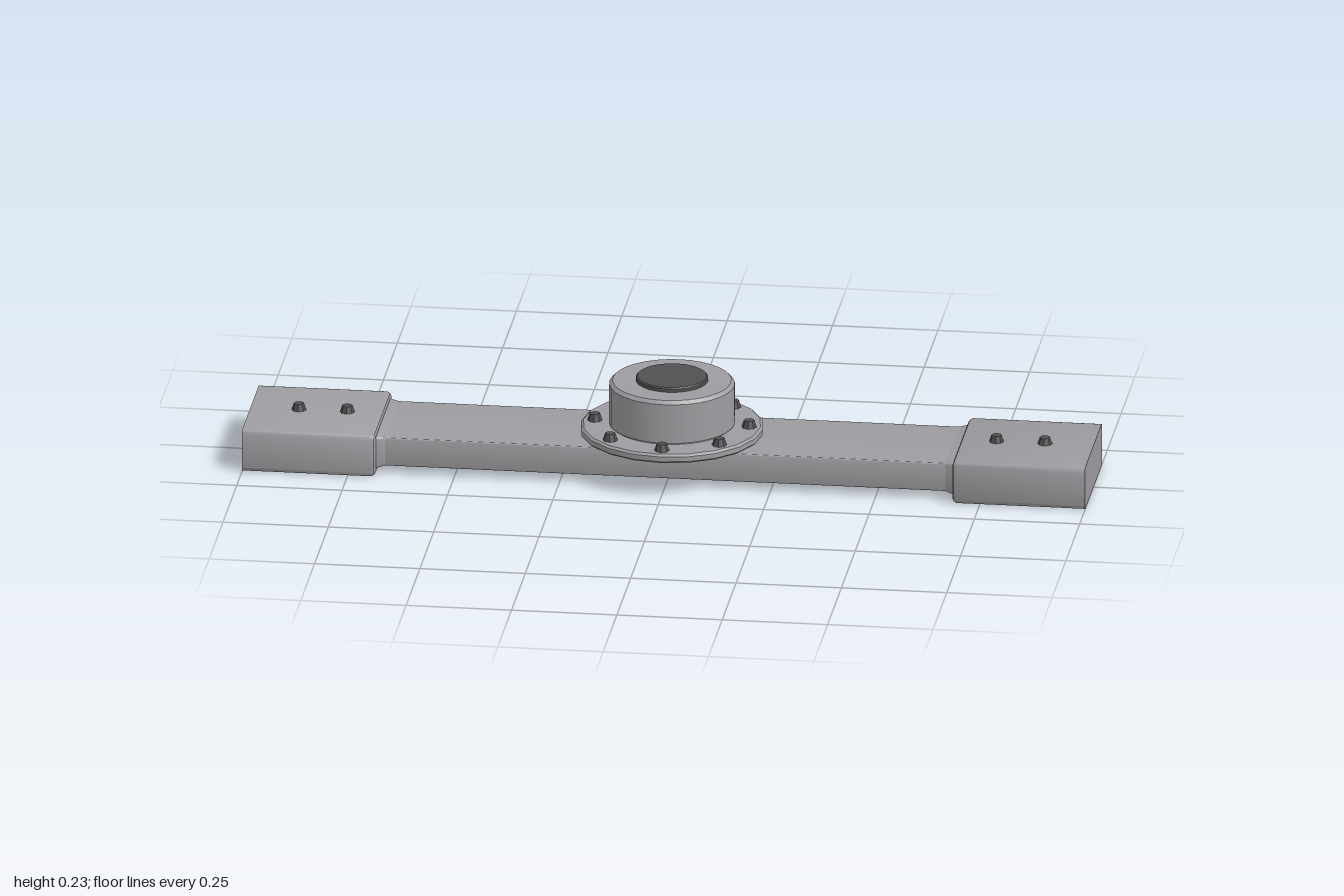
import * as THREE from 'three';
import { toCreasedNormals } from 'three/addons/utils/BufferGeometryUtils.js';

const grey = new THREE.MeshStandardMaterial({ color: 0x9d9da1 });
grey.name = 'light grey metal';
const dark = new THREE.MeshStandardMaterial({ color: 0x505052 });
dark.name = 'dark grey metal';

function add(parent, name, geometry, material, x = 0, y = 0, z = 0) {
  const mesh = new THREE.Mesh(geometry, material);
  mesh.name = name;
  mesh.position.set(x, y, z);
  parent.add(mesh);
  return mesh;
}

// Rounded rectangle outline in the yz plane, counter-clockwise seen from +x
function outline({ x, y0, y1, halfZ, r }) {
  const points = [];
  const steps = 3;
  const cy = (y0 + y1) / 2;
  const h = (y1 - y0) / 2;
  [[1, 1], [-1, 1], [-1, -1], [1, -1]].forEach(([su, sv], corner) => {
    for (let i = 0; i <= steps; i++) {
      const a = (corner + i / steps) * Math.PI / 2;
      const u = su * (halfZ - r) + r * Math.cos(a);
      const v = sv * (h - r) + r * Math.sin(a);
      points.push([x, cy + v, -u]);
    }
  });
  return points;
}

// Closed solid through a row of rounded rectangles, from small x to large x
function loft(sections) {
  const rings = sections.map(outline);
  const n = rings[0].length;
  const positions = rings.flat(2);
  const index = [];
  for (let s = 0; s < rings.length - 1; s++) {
    for (let i = 0; i < n; i++) {
      const a = s * n + i, b = s * n + (i + 1) % n;
      index.push(a, b, b + n, a, b + n, a + n);
    }
  }
  const last = (rings.length - 1) * n;
  for (let i = 1; i < n - 1; i++) {
    index.push(0, i + 1, i, last, last + i, last + i + 1);
  }
  const geometry = new THREE.BufferGeometry();
  geometry.setAttribute('position', new THREE.Float32BufferAttribute(positions, 3));
  geometry.setIndex(index);
  return toCreasedNormals(geometry, 0.6);
}

function turned(profile, sides) {
  const points = profile.map(([r, y]) => new THREE.Vector2(r, y));
  return toCreasedNormals(new THREE.LatheGeometry(points, sides), 0.5);
}

export function createModel() {
  const model = new THREE.Group();
  model.name = 'mountedBar';

  // Long flat bar
  add(model, 'bar', loft([-0.7, 0.7].map((x) => (
    { x, y0: 0.02, y1: 0.09, halfZ: 0.126, r: 0.003 }))), grey);

  // End blocks with softened inner ends, flared necks and two bolts each
  const blockGeometry = loft([
    { x: 0.685, y0: 0.008, y1: 0.096, halfZ: 0.148, r: 0.006 },
    { x: 0.688, y0: 0.003, y1: 0.101, halfZ: 0.153, r: 0.009 },
    { x: 0.695, y0: 0, y1: 0.104, halfZ: 0.156, r: 0.01 },
    { x: 1, y0: 0, y1: 0.104, halfZ: 0.156, r: 0.01 },
  ]);
  const neckGeometry = loft([
    { x: 0.665, y0: 0.02, y1: 0.09, halfZ: 0.126, r: 0.003 },
    { x: 0.69, y0: 0.013, y1: 0.094, halfZ: 0.137, r: 0.006 },
  ]);
  const boltGeometry = toCreasedNormals(new THREE.CylinderGeometry(0.0125, 0.018, 0.018, 8), 0.4);
  for (const side of ['left', 'right']) {
    const end = new THREE.Group();
    end.name = side + 'End';
    end.rotation.y = side === 'left' ? 0 : Math.PI;
    add(end, 'endBlock', blockGeometry, grey);
    add(end, 'neck', neckGeometry, grey);
    for (const x of [0.77, 0.885]) add(end, 'endBolt', boltGeometry, dark, x, 0.111, 0);
    model.add(end);
  }

  // Round flange with a chamfered rim
  add(model, 'flange', turned([
    [0, 0.09], [0.21, 0.09], [0.216, 0.095], [0.216, 0.107], [0.21, 0.112], [0, 0.112],
  ], 20), grey);

  // Raised housing with a chamfered top edge
  add(model, 'housing', turned([
    [0.143, 0.108], [0.143, 0.114], [0.148, 0.116], [0.148, 0.213], [0.14, 0.221], [0, 0.221],
  ], 32), grey);

  // Dark cap on the housing
  add(model, 'cap', turned([
    [0.085, 0.219], [0.085, 0.229], [0.082, 0.232], [0, 0.232],
  ], 24), dark);

  // Ring of flange bolts
  for (let i = 0; i < 8; i++) {
    const a = i * Math.PI / 4;
    add(model, 'flangeBolt', boltGeometry, dark, 0.183 * Math.cos(a), 0.12, 0.183 * Math.sin(a));
  }
  return model;
}
